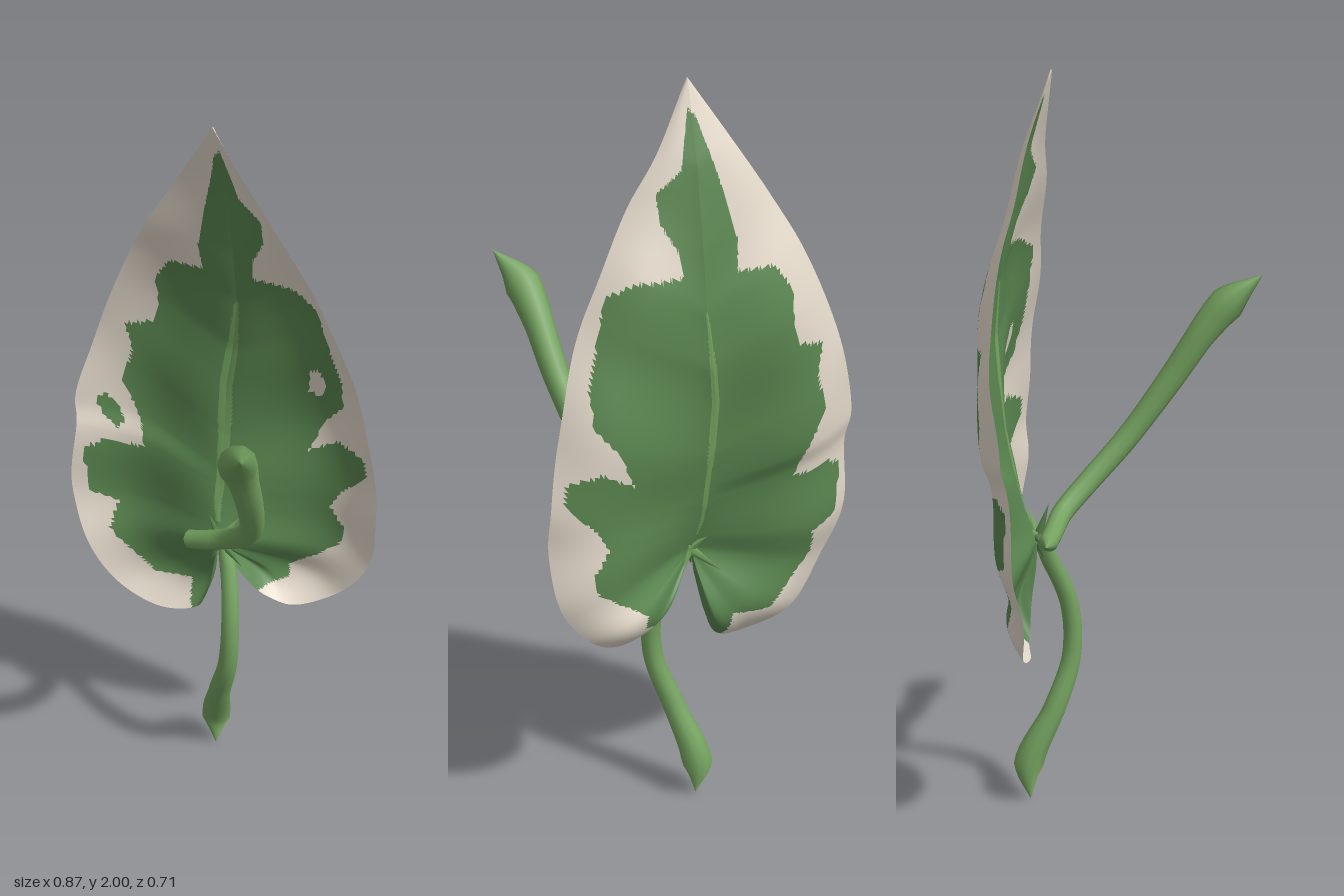
import * as THREE from 'three';

const mat = (name, color) =>
  Object.assign(new THREE.MeshStandardMaterial({ color, side: THREE.DoubleSide }), { name });
const V = (p) => new THREE.Vector3(p[0], p[1], p[2]);

// Piecewise-linear lookup in a list of [key, value] with ascending keys
function lookup(table, k) {
  let i = 1;
  while (i < table.length - 1 && k > table[i][0]) i++;
  const [a, va] = table[i - 1], [b, vb] = table[i];
  return va + (vb - va) * THREE.MathUtils.clamp((k - a) / (b - a), 0, 1);
}

function inside(poly, x, y) {
  let hit = false;
  for (let i = 0, j = poly.length - 1; i < poly.length; j = i++) {
    const [xi, yi] = poly[i], [xj, yj] = poly[j];
    if ((yi > y) !== (yj > y) && x < xi + (xj - xi) * (y - yi) / (yj - yi)) hit = !hit;
  }
  return hit;
}

// Midrib position at height y
const ribX = [[0.75, 0.015], [0.85, -0.005], [1.2, -0.018], [1.45, 0.008], [2, 0.012]];
const ribZ = [[0.75, -0.19], [0.9, -0.235], [1.05, -0.266], [1.3, -0.294], [1.45, -0.286], [1.6, -0.258], [1.8, -0.212], [2, -0.14]];
const rib = (y) => new THREE.Vector3(lookup(ribX, y), y, lookup(ribZ, y));
const ribHalfWidth = [[0.8, 0.008], [1.1, 0.02], [1.3, 0.017], [1.45, 0.006]];

// Leaf margins from tip to notch: x, y, z, height where the row leaves the midrib
const leftEdge = [
  [0.012, 2, -0.14, 2], [-0.09, 1.85, -0.17, 1.8], [-0.19, 1.7, -0.185, 1.6], [-0.27, 1.565, -0.2, 1.42],
  [-0.35, 1.385, -0.212, 1.22], [-0.4, 1.235, -0.197, 1.06], [-0.435, 1.08, -0.17, 0.95], [-0.425, 1.0, -0.155, 0.9],
  [-0.435, 0.8, -0.14, 0.8], [-0.385, 0.655, -0.13, 0.76], [-0.285, 0.51, -0.15, 0.75], [-0.15, 0.47, -0.17, 0.75],
  [-0.055, 0.49, -0.195, 0.75], [-0.022, 0.56, -0.2, 0.75], [0.006, 0.68, -0.19, 0.75]];
const rightEdge = [
  [0.012, 2, -0.14, 2], [0.1, 1.83, -0.18, 1.78], [0.18, 1.71, -0.2, 1.6], [0.265, 1.55, -0.235, 1.4],
  [0.34, 1.38, -0.265, 1.22], [0.39, 1.18, -0.303, 1.05], [0.42, 1.0, -0.32, 0.92], [0.43, 0.87, -0.325, 0.83],
  [0.405, 0.71, -0.337, 0.77], [0.325, 0.6, -0.327, 0.75], [0.22, 0.55, -0.28, 0.75], [0.15, 0.57, -0.245, 0.75],
  [0.1, 0.62, -0.22, 0.75], [0.034, 0.71, -0.195, 0.75]];

// Green heart of the leaf; the upper face also has a cream spot and a green island
const heart = [
  [0.02, 1.93], [0.05, 1.79], [0.115, 1.74], [0.11, 1.67], [0.07, 1.6], [0.06, 1.54], [0.18, 1.54], [0.26, 1.51],
  [0.285, 1.4], [0.315, 1.29], [0.31, 1.2], [0.25, 1.13], [0.21, 1.03], [0.29, 1.08], [0.38, 1.06], [0.39, 1.0],
  [0.315, 0.93], [0.28, 0.865], [0.325, 0.8], [0.31, 0.75], [0.26, 0.71], [0.17, 0.65], [0.175, 0.61], [0.12, 0.59],
  [0.1, 0.55], [0.02, 0.45], [-0.06, 0.46], [-0.085, 0.51], [-0.09, 0.56], [-0.2, 0.55], [-0.265, 0.615],
  [-0.33, 0.68], [-0.32, 0.76], [-0.395, 0.785], [-0.41, 0.92], [-0.37, 0.955], [-0.25, 0.945], [-0.27, 1.01],
  [-0.33, 1.13], [-0.3, 1.235], [-0.315, 1.315], [-0.245, 1.33], [-0.225, 1.395], [-0.225, 1.475], [-0.18, 1.54],
  [-0.08, 1.54], [-0.085, 1.615], [-0.045, 1.765], [0, 1.91]];
const spot = [[0.21, 1.22], [0.215, 1.29], [0.245, 1.3], [0.26, 1.26], [0.245, 1.21]];
const island = [[-0.39, 1.07], [-0.37, 1.095], [-0.34, 1.06], [-0.315, 1.01], [-0.33, 0.99], [-0.37, 1.03]];

// Material index at a point of the blade: 0 green, 1 cream, 2 pale midrib
function colourAt(x, y, upper) {
  const reach = lookup(ribHalfWidth, y) * (upper ? 1 : 0.5);
  if (y > 0.8 && y < 1.45 && Math.abs(x - lookup(ribX, y)) < reach) return 2;
  if (upper && inside(spot, x, y)) return 1;
  return inside(heart, x, y) || (upper && inside(island, x, y)) ? 0 : 1;
}

// One face of the blade: rows run from midrib to margin, bellied back with the rim curling forward
function bladeGeometry(upper) {
  const rows = 170, cols = 46, pos = [], faces = [[], [], []];
  [leftEdge, rightEdge].forEach((edge, side) => {
    const curve = new THREE.CatmullRomCurve3(edge.map(V));
    const roots = edge.map((p, i) => [i / (edge.length - 1), p[3]]);
    const base = pos.length / 3;
    for (let r = 0; r <= rows; r++) {
      const t = r / rows, a = rib(lookup(roots, t)), b = curve.getPoint(t);
      const belly = 0.053 * THREE.MathUtils.smoothstep(t, 0, 0.45) * (1 - THREE.MathUtils.smoothstep(t, 0.8, 1));
      for (let c = 0; c <= cols; c++) {
        const s = (c / cols) ** 1.3, p = a.clone().lerp(b, s);
        const quilt = 0.007 * Math.sin(Math.PI * t) * Math.cos(t * 38 + side);
        p.z += Math.sin(Math.PI * s) * quilt - belly * Math.sin(Math.PI * s ** 1.5);
        p.z += 0.004 * s * s * Math.sin(Math.PI * t) * Math.sin(t * 50);
        // The underside lies just behind the upper face and meets it at the rim
        if (!upper) p.z -= 0.005 * (1 - s ** 8);
        pos.push(p.x, p.y, p.z);
      }
    }
    const tri = (a, b, c) => {
      const mean = (k) => (pos[3 * a + k] + pos[3 * b + k] + pos[3 * c + k]) / 3;
      faces[colourAt(mean(0), mean(1), upper)].push(...((side === 1) === upper ? [a, c, b] : [a, b, c]));
    };
    for (let r = 0; r < rows; r++) for (let c = 0; c < cols; c++) {
      const i = base + r * (cols + 1) + c, j = i + cols + 1;
      tri(i, i + 1, j);
      tri(i + 1, j + 1, j);
    }
  });
  const g = new THREE.BufferGeometry();
  g.setAttribute('position', new THREE.Float32BufferAttribute(pos, 3));
  g.setIndex(faces.flat());
  let start = 0;
  faces.forEach((f, i) => {
    g.addGroup(start, f.length, i);
    start += f.length;
  });
  g.computeVertexNormals();
  return g;
}

// Tube whose radius follows a table of [fraction of length, radius]
function taperedTube(points, radii, sides = 10, segments = 48) {
  const curve = new THREE.CatmullRomCurve3(points.map(V));
  const g = new THREE.TubeGeometry(curve, segments, 1, sides);
  const p = g.attributes.position, v = new THREE.Vector3();
  for (let i = 0; i < p.count; i++) {
    const u = Math.floor(i / (sides + 1)) / segments, c = curve.getPointAt(u);
    v.fromBufferAttribute(p, i).sub(c).multiplyScalar(lookup(radii, u)).add(c);
    p.setXYZ(i, v.x, v.y, v.z);
  }
  return g;
}

export function createModel() {
  const leafGreen = mat('leafGreen', 0x5a8650);
  const cream = mat('cream', 0xe4dacb);
  const stemGreen = mat('stemGreen', 0x74a25f);
  const model = new THREE.Group();
  model.name = 'variegatedLeaf';
  const add = (name, geometry, material) => {
    const m = new THREE.Mesh(geometry, material);
    m.name = name;
    model.add(m);
    return m;
  };

  add('bladeUpperFace', bladeGeometry(true), [leafGreen, cream, stemGreen]);
  add('bladeUnderside', bladeGeometry(false), [leafGreen, cream, stemGreen]);

  // Lower stem ends in a pointed bulge on the ground
  add('lowerStem', taperedTube([
    [0.02, 0.77, -0.195], [0.06, 0.69, -0.17], [0.097, 0.55, -0.122], [0.095, 0.4, -0.115],
    [0.05, 0.26, -0.152], [0.003, 0.11, -0.215], [0.005, 0, -0.212]],
    [[0, 0.012], [0.1, 0.024], [0.5, 0.028], [0.7, 0.033], [0.87, 0.044], [1, 0]]), stemGreen);

  // Upper stem reaches forward and to the left
  add('upperStem', taperedTube([
    [-0.07, 0.752, -0.145], [0, 0.775, -0.142], [0.075, 0.81, -0.135], [0.15, 0.875, -0.085], [0.23, 0.99, 0.01],
    [0.28, 1.14, 0.115], [0.313, 1.3, 0.22], [0.333, 1.365, 0.275], [0.388, 1.432, 0.358]],
    [[0, 0], [0.005, 0.026], [0.2, 0.03], [0.5, 0.033], [0.75, 0.039], [0.88, 0.05], [1, 0]]), stemGreen);

  // Small bracts around the joint
  for (let i = 0; i < 9; i++) {
    const a = (i / 9) * Math.PI * 2 + 0.3, length = 0.065 + 0.02 * (i % 3);
    const g = new THREE.ConeGeometry(0.016, length, 5);
    g.translate(0, length / 2, 0);
    const bract = add('bract', g, i % 2 ? stemGreen : leafGreen);
    bract.position.set(0.02, 0.755, -0.19);
    bract.quaternion.setFromUnitVectors(new THREE.Vector3(0, 1, 0),
      new THREE.Vector3(Math.cos(a), Math.sin(a), i % 2 ? -0.45 : 0.35).normalize());
  }
  return model;
}
